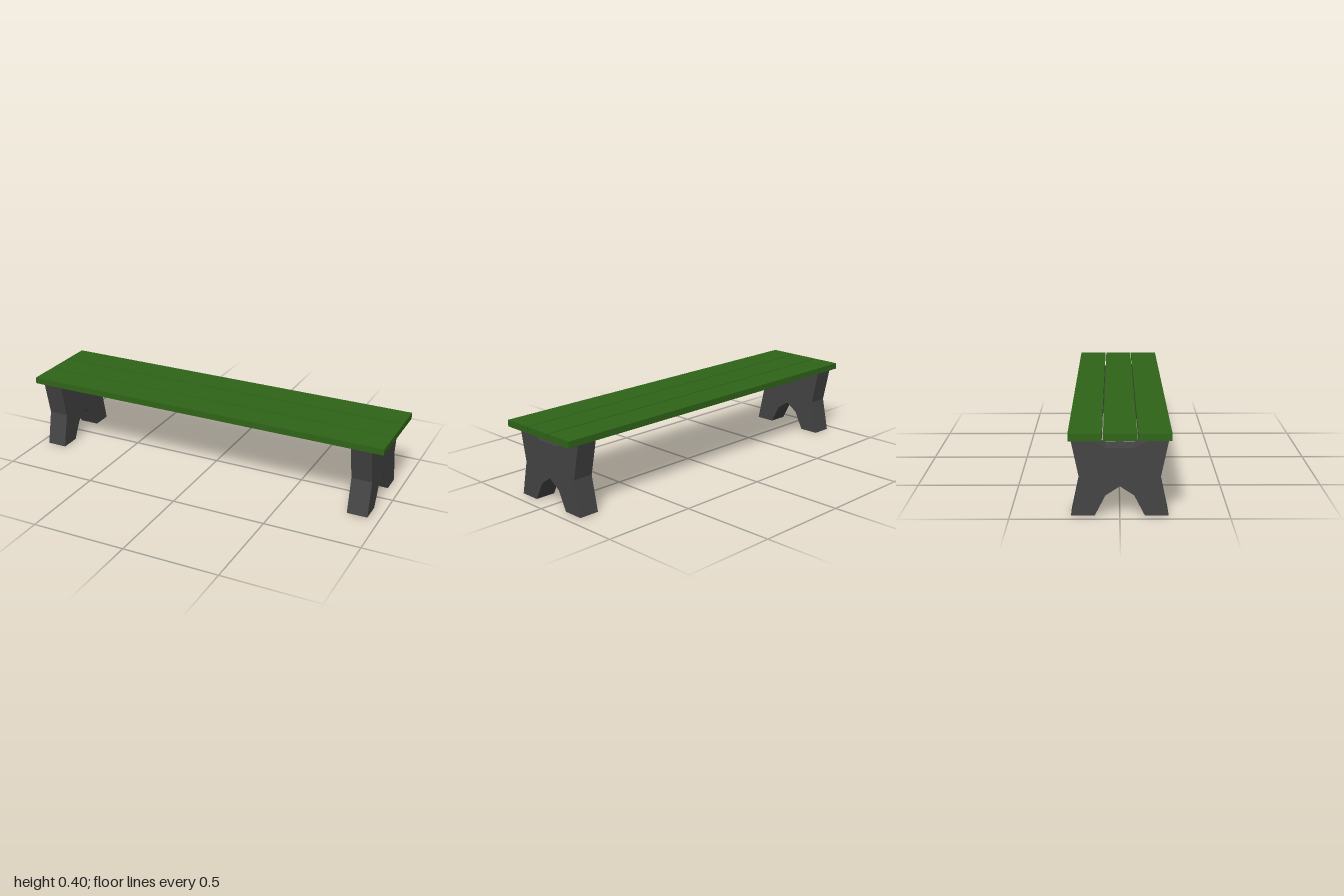
import * as THREE from 'three';

const green = new THREE.MeshStandardMaterial({ color: 0x2f6418 });
const darkGrey = new THREE.MeshStandardMaterial({ color: 0x444444 });

// Half outline of a leg slab, from the arch peak round to the top notch: [z, y]
const legHalf = [
  [0.065, 0.096], [0.114, 0], [0.222, 0], [0.184, 0.179],
  [0.222, 0.363], [0.147, 0.363], [0.065, 0.318],
];
const legDepth = 0.107;

function makeLegGeometry() {
  const mirrored = legHalf.map(([z, y]) => [-z, y]).reverse();
  const points = [[0, 0.139], ...legHalf, ...mirrored].map(([z, y]) => new THREE.Vector2(z, y));
  const geometry = new THREE.ExtrudeGeometry(new THREE.Shape(points), {
    depth: legDepth, bevelEnabled: false,
  });
  // Centre the thickness, then turn the profile to face along x
  return geometry.translate(0, 0, -legDepth / 2).rotateY(Math.PI / 2);
}

export function createModel() {
  const bench = new THREE.Group();
  bench.name = 'bench';

  // Three seat planks with narrow gaps
  const plank = new THREE.BoxGeometry(2, 0.033, 0.151);
  [['frontPlank', 0.157], ['middlePlank', 0.001], ['backPlank', -0.156]].forEach(([name, z]) => {
    const mesh = new THREE.Mesh(plank, green);
    mesh.name = name;
    mesh.position.set(0, 0.3795, z);
    bench.add(mesh);
  });

  // Slab legs near each end
  const leg = makeLegGeometry();
  [['rightLeg', -0.898], ['leftLeg', 0.885]].forEach(([name, x]) => {
    const mesh = new THREE.Mesh(leg, darkGrey);
    mesh.name = name;
    mesh.position.x = x;
    bench.add(mesh);
  });

  return bench;
}
